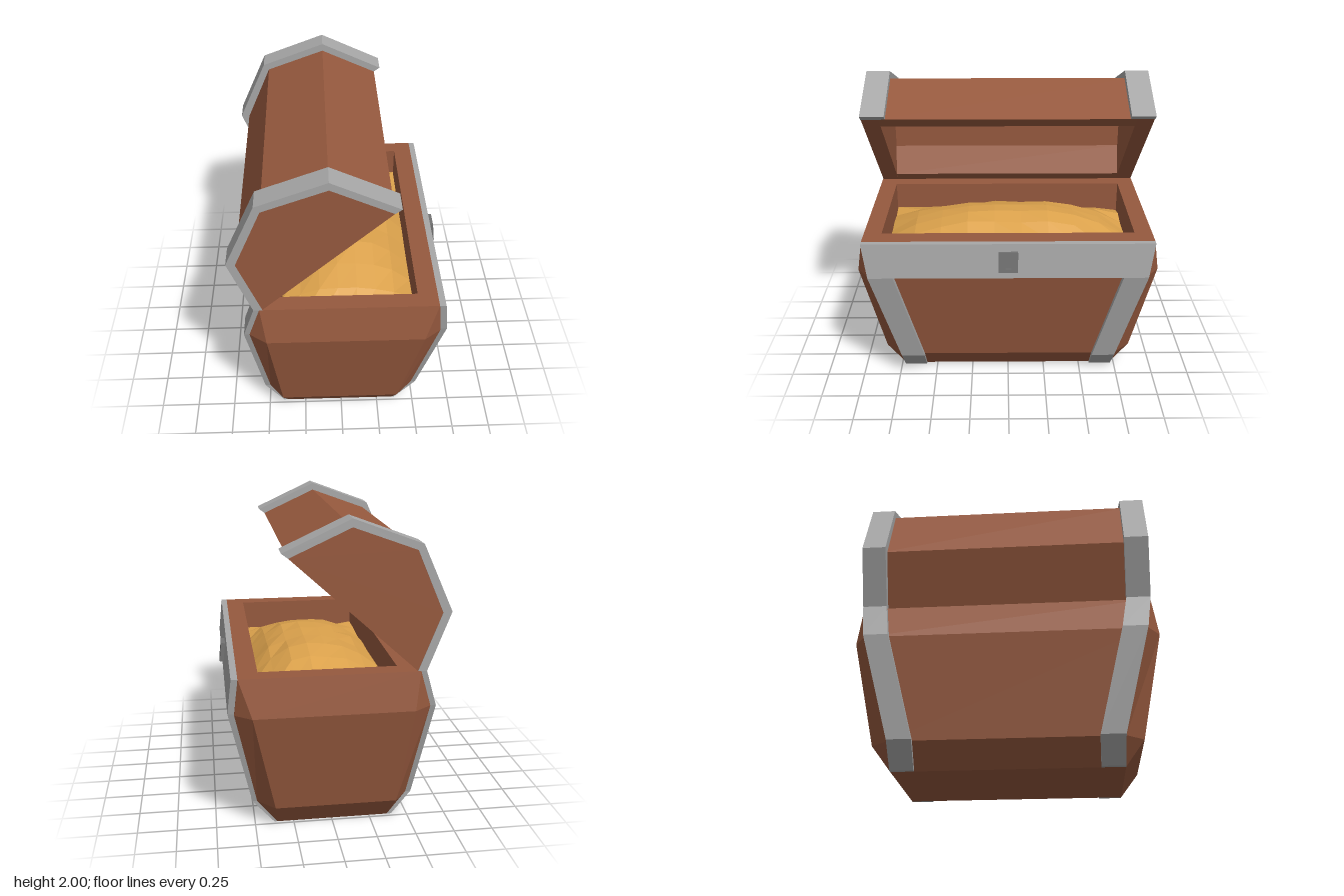
import * as THREE from 'three';

const material = (color) =>
  new THREE.MeshStandardMaterial({ color, flatShading: true });

// Skin between rings of [x, y, z] points, closed at both ends.
function loft(rings) {
  const pos = [];
  const tri = (a, b, c) => pos.push(...a, ...b, ...c);
  const n = rings[0].length;
  for (let r = 0; r < rings.length - 1; r++) {
    const A = rings[r], B = rings[r + 1];
    for (let i = 0; i < n; i++) {
      const j = (i + 1) % n;
      tri(A[i], A[j], B[j]);
      tri(A[i], B[j], B[i]);
    }
  }
  const first = rings[0], last = rings[rings.length - 1];
  for (let i = 1; i < n - 1; i++) {
    tri(first[0], first[i + 1], first[i]);
    tri(last[0], last[i], last[i + 1]);
  }
  const geo = new THREE.BufferGeometry();
  geo.setAttribute('position', new THREE.Float32BufferAttribute(pos, 3));
  geo.computeVertexNormals();
  return geo;
}

// Metal strip: sections [innerX, innerY, outerX, outerY, zNear, zFar],
// listed counterclockwise round the chest; side -1 mirrors it in z.
function strip(sections, side = 1) {
  return loft(sections.map(([xi, yi, xo, yo, za, zb]) => {
    const lo = Math.min(za * side, zb * side);
    const hi = Math.max(za * side, zb * side);
    return [[xo, yo, hi], [xo, yo, lo], [xi, yi, lo], [xi, yi, hi]];
  }));
}

// Horizontal ring of the body with chamfered corners.
function bodyRing(y, back, front, zCorner, endBack = back, endFront = front, zEnd = zCorner) {
  return [
    [endFront, y, zEnd], [front, y, zCorner], [front, y, -zCorner], [endFront, y, -zEnd],
    [endBack, y, -zEnd], [back, y, -zCorner], [back, y, zCorner], [endBack, y, zEnd],
  ];
}

function extrude(points, z0, z1, hole) {
  const shape = new THREE.Shape(points.map(([x, y]) => new THREE.Vector2(x, y)));
  if (hole) shape.holes.push(new THREE.Path(hole.map(([x, y]) => new THREE.Vector2(x, y))));
  const geo = new THREE.ExtrudeGeometry(shape, { depth: z1 - z0, bevelEnabled: false });
  return geo.translate(0, 0, z0);
}

const rect = (w, h) => [[-w, -h], [w, -h], [w, h], [-w, h]];

export function createModel() {
  const chest = new THREE.Group();
  chest.name = 'treasureChest';
  const wood = material(0x96593e);
  const metal = material(0xa8a8a8);
  const darkMetal = material(0x737373);
  const gold = material(0xdca24c);
  const add = (name, geo, mat, parent = chest) => {
    const mesh = new THREE.Mesh(geo, mat);
    mesh.name = name;
    parent.add(mesh);
    return mesh;
  };

  // Body: flared outside, flat rim, then down into the hollow
  add('body', loft([
    bodyRing(0, -0.37, 0.355, 0.725),
    bodyRing(0.16, -0.49, 0.485, 0.73, -0.4, 0.375, 0.845),
    bodyRing(0.83, -0.585, 0.62, 0.9, -0.475, 0.515, 0.98),
    bodyRing(1.07, -0.51, 0.595, 0.935),
    bodyRing(1.07, -0.385, 0.47, 0.82),
    bodyRing(0.7, -0.385, 0.47, 0.82),
  ]), wood);

  // Body straps, front and back, at both ends
  for (const side of [1, -1]) {
    const end = side > 0 ? 'Left' : 'Right';
    add('frontStrap' + end, strip([
      [0.355, 0, 0.375, 0, 0.575, 0.725],
      [0.485, 0.16, 0.515, 0.16, 0.575, 0.73],
      [0.62, 0.84, 0.66, 0.84, 0.74, 0.9],
    ], side), metal);
    add('backStrap' + end, strip([
      [-0.51, 1.07, -0.545, 1.07, 0.78, 0.935],
      [-0.585, 0.83, -0.62, 0.83, 0.74, 0.9],
      [-0.49, 0.16, -0.525, 0.16, 0.575, 0.73],
      [-0.37, 0, -0.4, 0, 0.575, 0.725],
    ], side), metal);
  }

  // Band along the front rim
  add('frontBand', strip([
    [0.62, 0.84, 0.66, 0.84, -0.9, 0.9],
    [0.595, 1.07, 0.635, 1.07, -0.935, 0.935],
  ]), metal);

  // Lock plate with keyhole, tilted with the band
  const lock = new THREE.Group();
  lock.name = 'lock';
  add('lockPlate', extrude(rect(0.062, 0.067), 0, 0.026, rect(0.02, 0.042)), darkMetal, lock);
  add('keyhole', new THREE.BoxGeometry(0.04, 0.084, 0.012).translate(0, 0, 0.006), darkMetal, lock);
  lock.rotation.set(0, Math.PI / 2, 0.108, 'ZYX');
  lock.position.set(0.648, 0.953, 0);
  chest.add(lock);

  // Lid, standing open: solid ends and a hollow middle
  const lid = new THREE.Group();
  lid.name = 'lid';
  chest.add(lid);
  const outer = [[0.29, 1.78], [-0.08, 1.95], [-0.465, 1.81], [-0.63, 1.43], [-0.49, 1.07]];
  // Hollow measured along and away from the opening plane
  const inner = [[-0.427, 0], [-0.36, 0.198], [-0.185, 0.39], [0.185, 0.39], [0.36, 0.198], [0.427, 0]]
    .map(([u, v]) => [-0.1 + 0.74 * u - 0.67 * v, 1.425 + 0.67 * u + 0.74 * v]);
  add('lidShell', extrude([...outer, ...inner], -0.82, 0.82), wood, lid);
  const lidRim = [[0.33, 1.81], [-0.08, 2], [-0.5, 1.845], [-0.685, 1.435], [-0.545, 1.07]];
  for (const side of [1, -1]) {
    const end = side > 0 ? 'Left' : 'Right';
    add('lidEnd' + end, extrude(outer, side > 0 ? 0.82 : -0.932, side > 0 ? 0.932 : -0.82), wood, lid);
    add('lidStrap' + end, strip(
      outer.map((p, i) => [...p, ...lidRim[i], 0.78, 0.935]), side), metal, lid);
  }

  // Gold: a lumpy faceted mound
  let seed = 7;
  const random = () => (seed = (seed * 16807) % 2147483647) / 2147483647;
  const mound = new THREE.PlaneGeometry(0.85, 1.635, 7, 9).rotateX(-Math.PI / 2);
  const p = mound.attributes.position;
  for (let i = 0; i < p.count; i++) {
    const u = Math.abs(p.getX(i)) / 0.425, w = Math.abs(p.getZ(i)) / 0.8175;
    const swell = (1 - u ** 2.2) * (1 - w ** 2.5);
    p.setY(i, 0.87 + 0.2 * swell + (random() - 0.5) * 0.03);
  }
  mound.computeVertexNormals();
  add('goldPile', mound, gold).position.set(0.0425, 0, 0);

  return chest;
}
